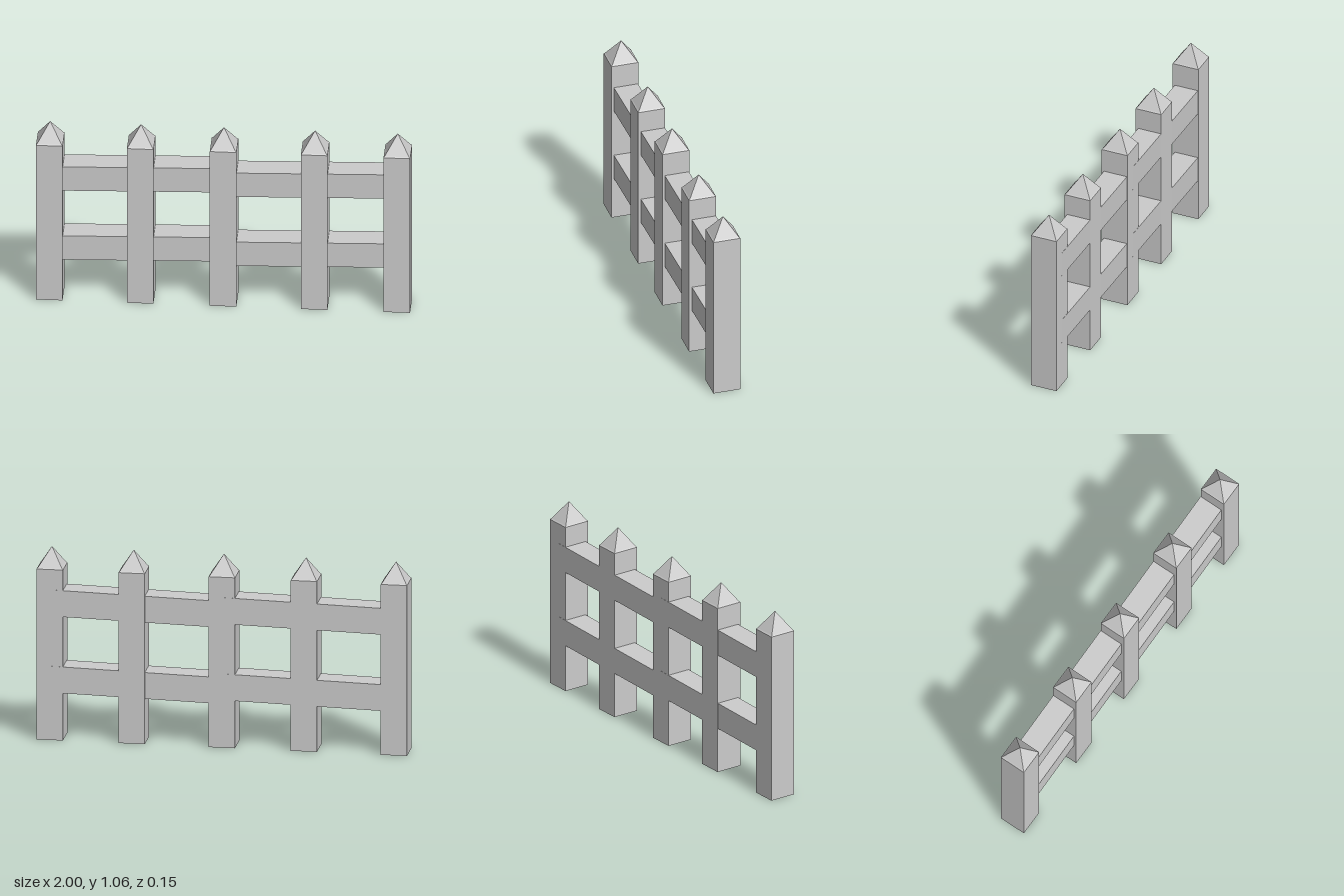
import * as THREE from 'three';

const POST_W = 0.142, POST_D = 0.15, POST_H = 0.95, TIP_H = 1.056;

// Square post: straight shaft, thin chamfered shoulder and pyramid point
function postGeometry() {
  const profile = [[0, 0], [0.5, 0], [0.5, POST_H - 0.003], [0.46, POST_H + 0.003], [0, TIP_H]]
    .map(([r, y]) => new THREE.Vector2(r * Math.SQRT2, y));
  const geometry = new THREE.LatheGeometry(profile, 4, Math.PI / 4);
  return geometry.scale(POST_W, 1, POST_D).toNonIndexed();
}

export function createModel() {
  const fence = new THREE.Group();
  fence.name = 'picketFence';
  const material = new THREE.MeshStandardMaterial({ color: 0xcccccc, flatShading: true });

  // Five unevenly spaced posts
  const postShape = postGeometry();
  for (const x of [-0.929, -0.443, 0, 0.487, 0.929]) {
    const post = new THREE.Mesh(postShape, material);
    post.name = 'post';
    post.position.x = x;
    fence.add(post);
  }

  // Two bays of slightly tilted rails, nearly flush with the back of the posts
  const railShape = new THREE.BoxGeometry(0.93, 0.146, 0.134);
  for (const x of [-0.465, 0.465]) {
    for (const [y, name] of [[0.326, 'lowerRail'], [0.75, 'upperRail']]) {
      const rail = new THREE.Mesh(railShape, material);
      rail.name = name;
      rail.position.set(x, y, -0.007);
      rail.rotation.set(0, 0.005, 0.025);
      fence.add(rail);
    }
  }
  return fence;
}
